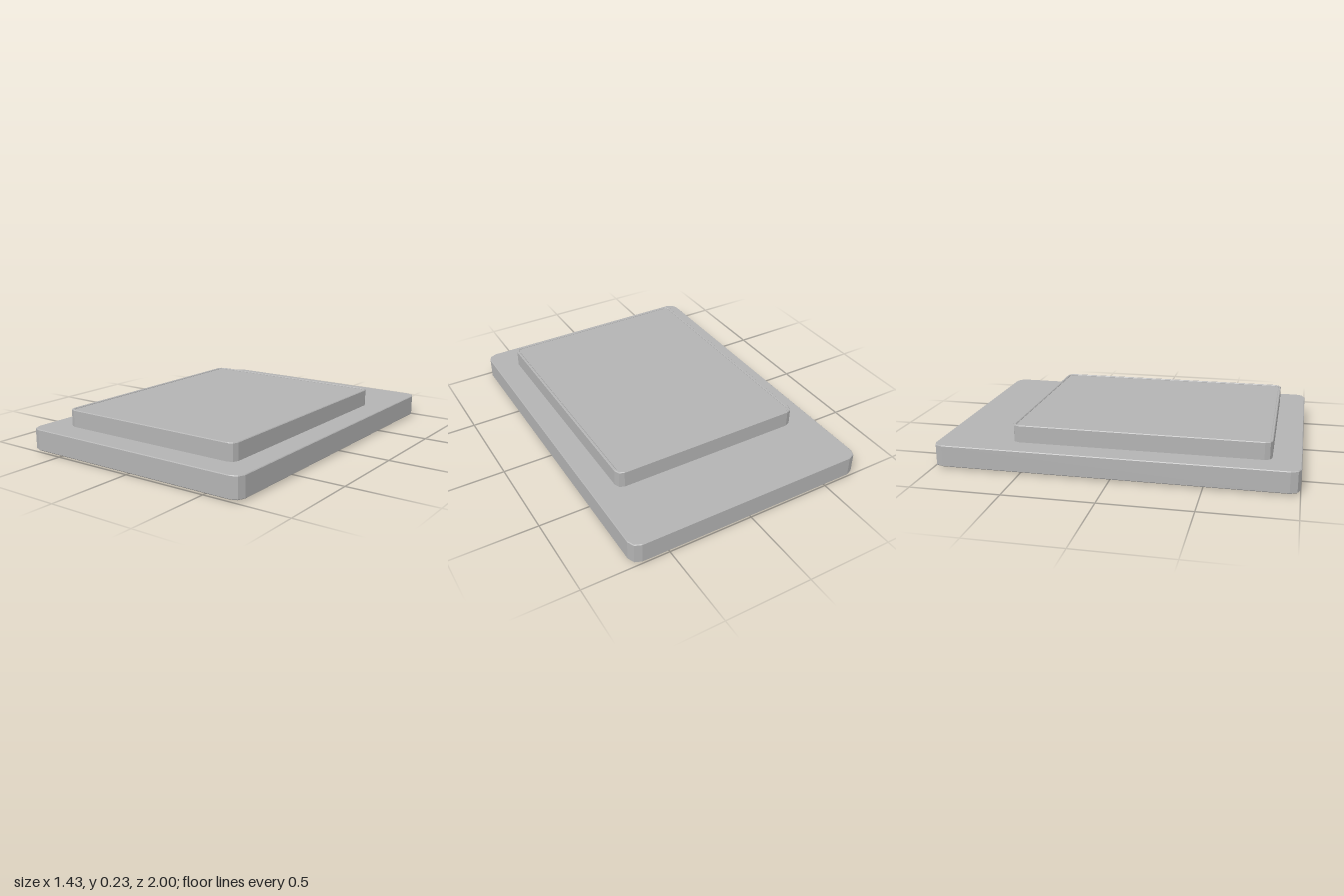
import * as THREE from 'three';

// Rectangle with softened corners, traced in the x/z plane around z = cz
function outline(Type, hx, hz, cz, r) {
  const p = new Type();
  const corners = [[1, 1, 0], [-1, 1, 1], [-1, -1, 2], [1, -1, 3]];
  const pts = [];
  for (const [sx, sz, quarter] of corners) {
    for (let i = 0; i <= 2; i++) {
      const a = (quarter + i / 2) * Math.PI / 2;
      pts.push(new THREE.Vector2(
        sx * (hx - r) + r * Math.cos(a),
        sz * (hz - r) + r * Math.sin(a) - cz
      ));
    }
  }
  return p.setFromPoints(pts);
}

// Upright plate between two heights, with a fine one-step bevel
function plate(name, shape, y0, y1, bevel, material) {
  const geometry = new THREE.ExtrudeGeometry(shape, {
    depth: y1 - y0 - 2 * bevel,
    bevelEnabled: bevel > 0,
    bevelThickness: bevel,
    bevelSize: bevel,
    bevelOffset: -bevel,
    bevelSegments: 1,
  });
  geometry.translate(0, 0, y0 + bevel);
  geometry.rotateX(-Math.PI / 2);
  const mesh = new THREE.Mesh(geometry, material);
  mesh.name = name;
  return mesh;
}

export function createModel() {
  const group = new THREE.Group();
  group.name = 'framedPanel';
  const grey = new THREE.MeshStandardMaterial({ color: 0xb3b3b3 });
  grey.name = 'grey';

  const cz = 0.13, hx = 0.572, hz = 0.715, r = 0.04, wall = 0.016;

  // Wide base slab with an opening for the raised frame
  const slab = outline(THREE.Shape, 0.713, 1, 0, 0.055);
  slab.holes.push(outline(THREE.Path, hx - 0.006, hz - 0.006, cz, r - 0.006));
  group.add(plate('baseSlab', slab, 0.01, 0.132, 0.004, grey));

  // Thin frame passing through the slab, standing slightly proud below it
  const frame = outline(THREE.Shape, hx, hz, cz, r);
  frame.holes.push(outline(THREE.Path, hx - wall, hz - wall, cz, r - wall));
  group.add(plate('frame', frame, 0, 0.23, 0.004, grey));

  // Panel filling the upper half of the frame, open recess underneath
  const inset = wall - 0.003;
  const panel = outline(THREE.Shape, hx - inset, hz - inset, cz, r - inset);
  group.add(plate('panel', panel, 0.11, 0.224, 0, grey));

  return group;
}
